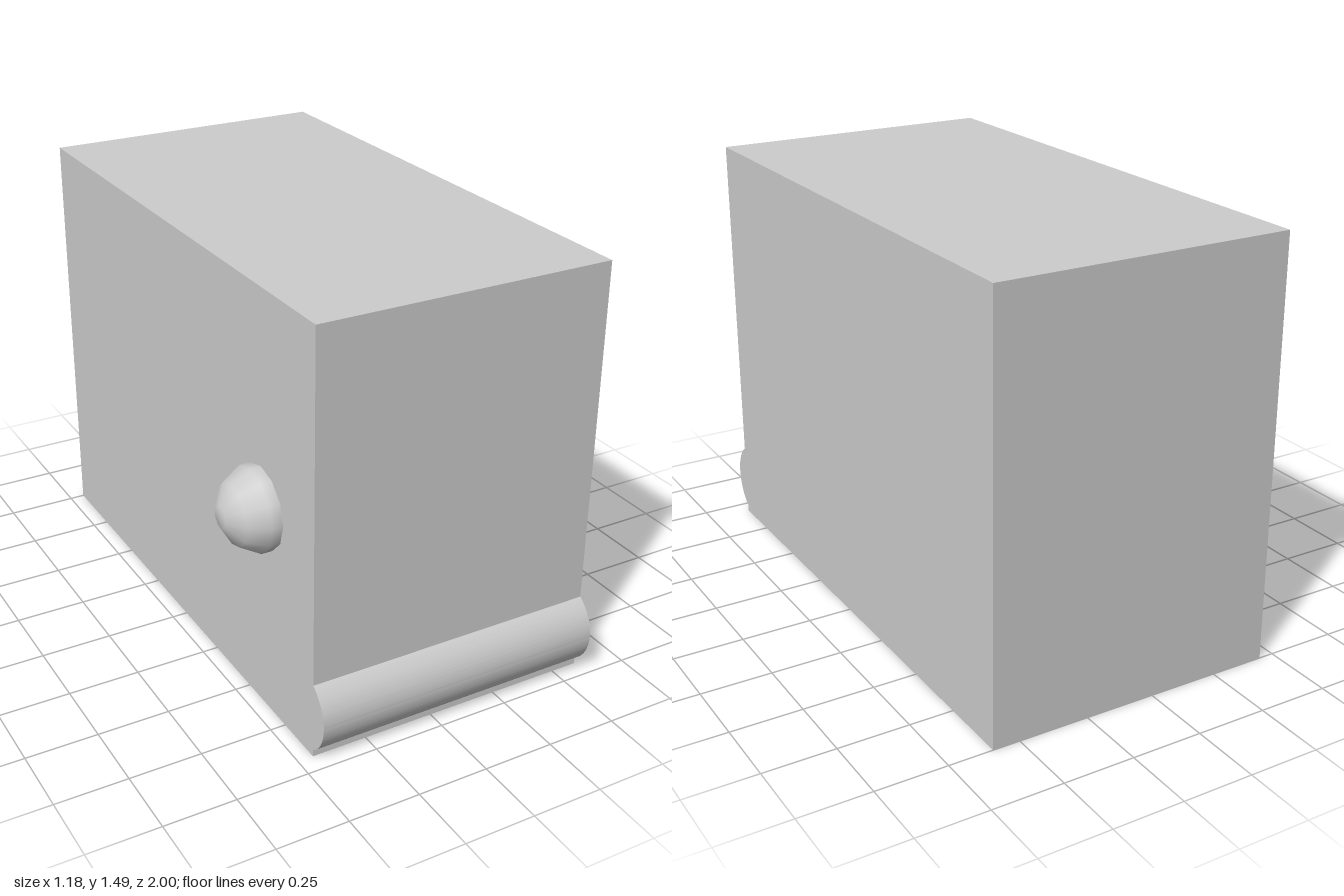
import * as THREE from 'three';
import { toCreasedNormals } from 'three/addons/utils/BufferGeometryUtils.js';

const U = 0.1487; // module unit: the body is 7 x 10 x 13 units
const RIGHT = -0.446, LEFT = 0.595, BACK = -1, FRONT = 0.933;
const WIDTH = LEFT - RIGHT, HEIGHT = 10 * U, DEPTH = FRONT - BACK;

export function createModel() {
  const model = new THREE.Group();
  const grey = new THREE.MeshStandardMaterial({ color: 0xcccccc });
  grey.name = 'plain grey';

  const add = (name, geometry, x, y, z) => {
    const mesh = new THREE.Mesh(geometry, grey);
    mesh.name = name;
    mesh.position.set(x, y, z);
    model.add(mesh);
  };

  // Main block
  add('body', new THREE.BoxGeometry(WIDTH, HEIGHT, DEPTH),
    (LEFT + RIGHT) / 2, HEIGHT / 2, (FRONT + BACK) / 2);

  // Rounded rail: the slice of a cylinder that stands out from the front face
  const inset = U - (1 - FRONT); // depth of the cylinder axis behind the face
  const half = Math.acos(inset / U);
  const slice = new THREE.Shape();
  slice.absarc(-inset, 0, U, -half, half, false);
  slice.closePath();
  const rail = new THREE.ExtrudeGeometry(slice, {
    depth: WIDTH, bevelEnabled: false, curveSegments: 40,
  });
  rail.rotateY(-Math.PI / 2);
  add('frontRail', toCreasedNormals(rail, 0.5), LEFT, U, FRONT);

  // Twelve-sided domed knob with a small flat tip, on the right side
  const profile = [[U * Math.sin(Math.PI * 75 / 180), 0]];
  for (const a of [75, 45, 15]) {
    const t = a * Math.PI / 180;
    profile.push([U * Math.sin(t), U * Math.cos(t)]);
  }
  profile.push([0, U * Math.cos(Math.PI / 12)]);
  const knob = new THREE.LatheGeometry(profile.map(([r, h]) => new THREE.Vector2(r, h)), 12);
  knob.rotateZ(Math.PI / 2);
  add('sideKnob', knob, RIGHT, HEIGHT / 2, 0.597);

  return model;
}
